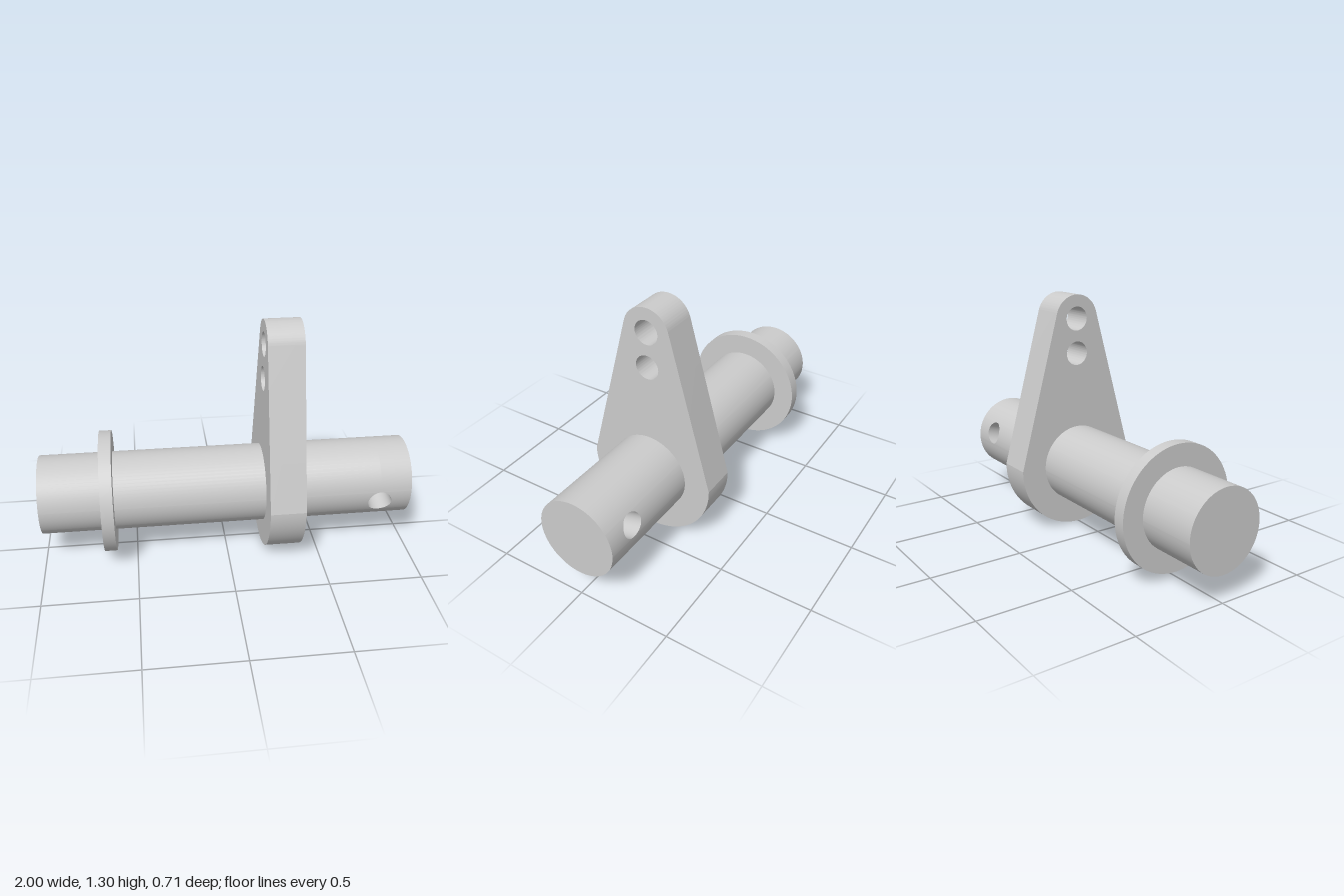
import * as THREE from 'three';
import { mergeVertices, toCreasedNormals } from 'three/addons/utils/BufferGeometryUtils.js';

const AXIS_Y = 0.355;   // height of the shaft axis
const SHAFT_R = 0.2125;
const PIN_R = 0.065;    // radius of every small hole
const PIN_X = 0.83;     // cross hole position along the shaft
const HALF = 24;        // steps around half of the cross hole

const material = new THREE.MeshStandardMaterial({ color: 0xcccccc });

function addMesh(parent, name, geometry) {
  const mesh = new THREE.Mesh(geometry, material);
  mesh.name = name;
  parent.add(mesh);
  return mesh;
}

// Smooth surface made from a list of quads, each with four [x, y, z] corners
function quadSurface(quads) {
  const points = [];
  for (const [a, b, c, d] of quads) points.push(...a, ...b, ...c, ...a, ...c, ...d);
  let geometry = new THREE.BufferGeometry();
  geometry.setAttribute('position', new THREE.Float32BufferAttribute(points, 3));
  geometry = mergeVertices(geometry, 1e-5);
  geometry.computeVertexNormals();
  return geometry;
}

// Round shaft wall, cut open where the cross hole (along z) passes through
function shaftWall() {
  const rim = []; // [angle, half width of the opening]
  const alpha = Math.asin(PIN_R / SHAFT_R);
  for (const start of [0, Math.PI]) {
    for (let i = 0; i <= HALF; i++) {
      const t = (Math.PI * i) / HALF;
      rim.push([start + Math.asin((-PIN_R / SHAFT_R) * Math.cos(t)), PIN_R * Math.sin(t)]);
    }
    for (let i = 1; i < 28; i++) {
      rim.push([start + alpha + ((Math.PI - 2 * alpha) * i) / 28, 0]);
    }
  }
  const at = (x, angle) => [x, SHAFT_R * Math.sin(angle), SHAFT_R * Math.cos(angle)];
  const quads = [];
  rim.forEach(([a0, w0], i) => {
    const [a1, w1] = rim[(i + 1) % rim.length];
    quads.push([at(-1, a0), at(PIN_X - w0, a0), at(PIN_X - w1, a1), at(-1, a1)]);
    quads.push([at(PIN_X + w0, a0), at(1, a0), at(1, a1), at(PIN_X + w1, a1)]);
  });
  return quadSurface(quads);
}

// Inner wall of the cross hole, ending on the curved shaft surface
function boreWall() {
  const at = (i, side) => {
    const t = (Math.PI * i) / HALF;
    const y = PIN_R * Math.sin(t);
    return [PIN_X + PIN_R * Math.cos(t), y, side * Math.sqrt(SHAFT_R ** 2 - y ** 2)];
  };
  const quads = [];
  for (let i = 0; i < 2 * HALF; i++) {
    quads.push([at(i, -1), at(i, 1), at(i + 1, 1), at(i + 1, -1)]);
  }
  return quadSurface(quads);
}

// Tapered lever outline: large round foot, small round tip, two holes
function leverGeometry() {
  const shape = new THREE.Shape();
  const tipY = 1.17;
  const taper = THREE.MathUtils.degToRad(15);
  shape.absarc(0, AXIS_Y, 0.355, Math.PI - 0.02, 2 * Math.PI + 0.02, false);
  shape.absarc(0, tipY, 0.13, taper, Math.PI - taper, false);
  shape.closePath();
  for (const y of [0.98, tipY]) {
    shape.holes.push(new THREE.Path().absarc(0, y, PIN_R, 0, Math.PI * 2, true));
  }
  const geometry = new THREE.ExtrudeGeometry(shape, { depth: 0.19, bevelEnabled: false, curveSegments: 40 });
  geometry.rotateY(Math.PI / 2);
  geometry.translate(0.2, 0, 0);
  return toCreasedNormals(geometry, 0.2);
}

export function createModel() {
  const model = new THREE.Group();
  model.name = 'leverShaft';

  // Shaft, turned so that its cross hole slopes down to the front
  const shaft = new THREE.Group();
  shaft.name = 'shaft';
  shaft.position.y = AXIS_Y;
  shaft.rotation.x = THREE.MathUtils.degToRad(15);
  model.add(shaft);
  addMesh(shaft, 'shaftWall', shaftWall());
  addMesh(shaft, 'crossHole', boreWall());
  for (const side of [-1, 1]) {
    const cap = addMesh(shaft, side > 0 ? 'leftEnd' : 'rightEnd', new THREE.CircleGeometry(SHAFT_R, 96));
    cap.position.x = side;
    cap.rotation.y = (side * Math.PI) / 2;
  }

  // Thin collar near the right end
  const collar = addMesh(model, 'collar', new THREE.CylinderGeometry(0.328, 0.328, 0.065, 96));
  collar.rotation.z = Math.PI / 2;
  collar.position.set(-0.64, AXIS_Y, 0);

  // Upright lever
  addMesh(model, 'lever', leverGeometry());

  return model;
}
